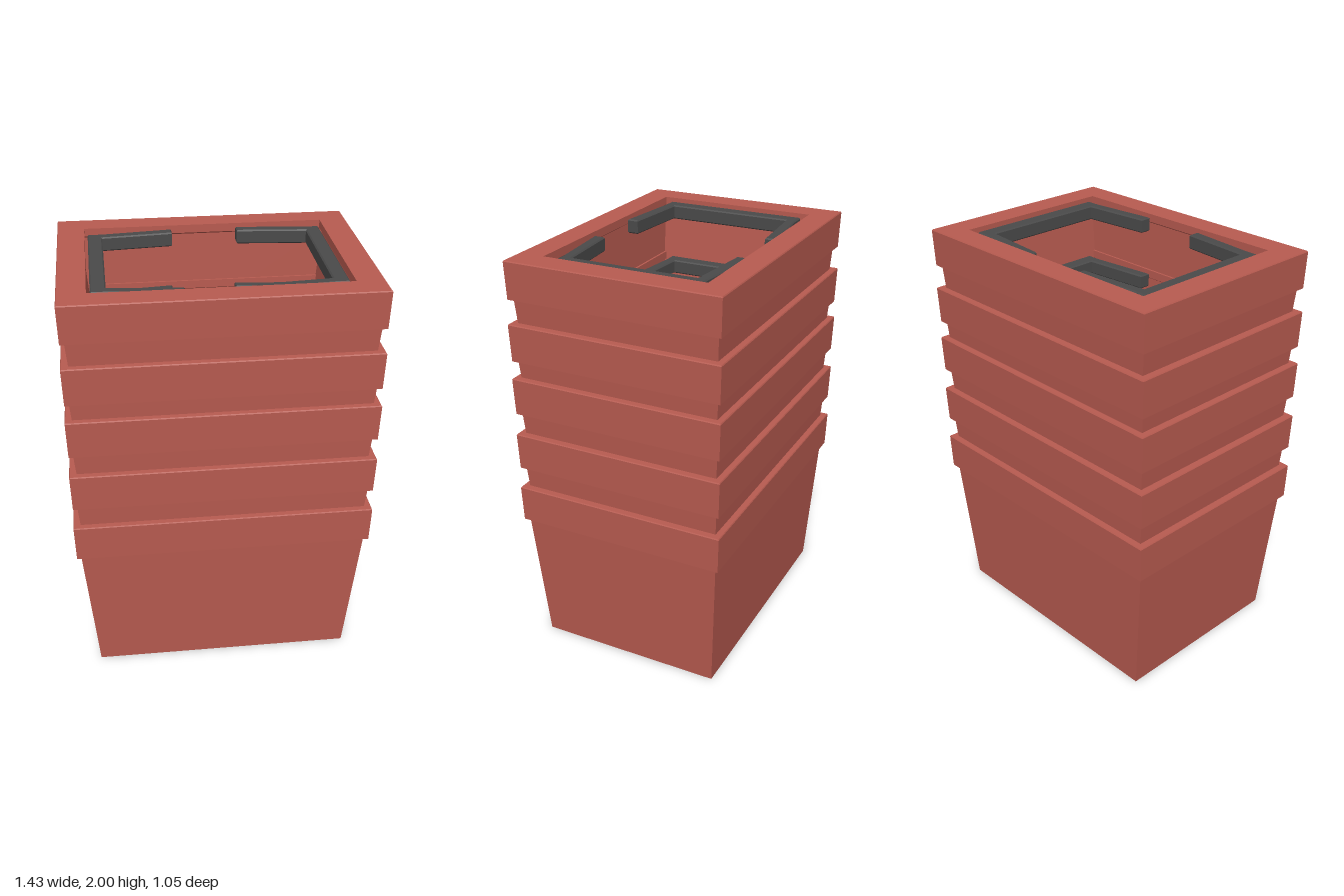
import * as THREE from 'three';

const terracotta = new THREE.MeshStandardMaterial({ color: 0xb85b50 });
terracotta.name = 'terracotta plastic';
const charcoal = new THREE.MeshStandardMaterial({ color: 0x4a4a4a });
charcoal.name = 'charcoal handle';

// Rectangular rings [half width, half depth, y], joined in order into a flat-sided shell
function loftRectangles(rings) {
  const signs = [[1, 1], [1, -1], [-1, -1], [-1, 1]];
  const corner = ([w, d, y], i) => [signs[i % 4][0] * w, y, signs[i % 4][1] * d];
  const positions = [];
  for (let r = 0; r < rings.length - 1; r++) {
    for (let i = 0; i < 4; i++) {
      const a = corner(rings[r], i), b = corner(rings[r], i + 1);
      const c = corner(rings[r + 1], i + 1), d = corner(rings[r + 1], i);
      positions.push(...a, ...b, ...c, ...a, ...c, ...d);
    }
  }
  const geometry = new THREE.BufferGeometry();
  geometry.setAttribute('position', new THREE.Float32BufferAttribute(positions, 3));
  geometry.computeVertexNormals();
  return geometry;
}

// Underside, tapered outer wall, rim, lip, inner wall and floor
const crateGeometry = loftRectangles([
  [0, 0, 0],
  [0.63, 0.46, 0],
  [0.69, 0.5, 0.685],
  [0.71, 0.52, 0.69],
  [0.715, 0.525, 0.865],
  [0.712, 0.522, 0.87],
  [0.585, 0.4, 0.87],
  [0.585, 0.4, 0.83],
  [0.605, 0.415, 0.82],
  [0.535, 0.4, 0.04],
  [0, 0, 0.04],
]);

// C-shaped folded handle: a long bar with two splayed arms
function makeHandleGeometry() {
  const half = [[0.57, 0.36], [0.5, 0.36], [0.16, 0.395], [0.16, 0.34], [0.5, 0.31]];
  const mirrored = half.map(([x, z]) => [x, -z]).reverse();
  const shape = new THREE.Shape([...half, ...mirrored].map(([x, z]) => new THREE.Vector2(x, z)));
  const bevel = 0.006;
  const geometry = new THREE.ExtrudeGeometry(shape, {
    depth: 0.058, bevelEnabled: true, bevelSize: bevel, bevelThickness: bevel,
    bevelOffset: -bevel, bevelSegments: 1,
  });
  geometry.rotateX(-Math.PI / 2);
  return geometry;
}

export function createModel() {
  const model = new THREE.Group();
  model.name = 'crateStack';
  const handleGeometry = makeHandleGeometry();

  // Five nested crates, each with its pair of handles
  [0.87, 1.155, 1.44, 1.705, 2].forEach((top, i) => {
    const crate = new THREE.Group();
    crate.name = `crate${i + 1}`;
    crate.position.y = top - 0.87;

    const tub = new THREE.Mesh(crateGeometry, terracotta);
    tub.name = 'tub';
    crate.add(tub);

    for (const side of ['left', 'right']) {
      const handle = new THREE.Mesh(handleGeometry, charcoal);
      handle.name = `${side}Handle`;
      handle.position.y = 0.79;
      handle.rotation.y = side === 'left' ? 0 : Math.PI;
      crate.add(handle);
    }
    model.add(crate);
  });
  return model;
}
